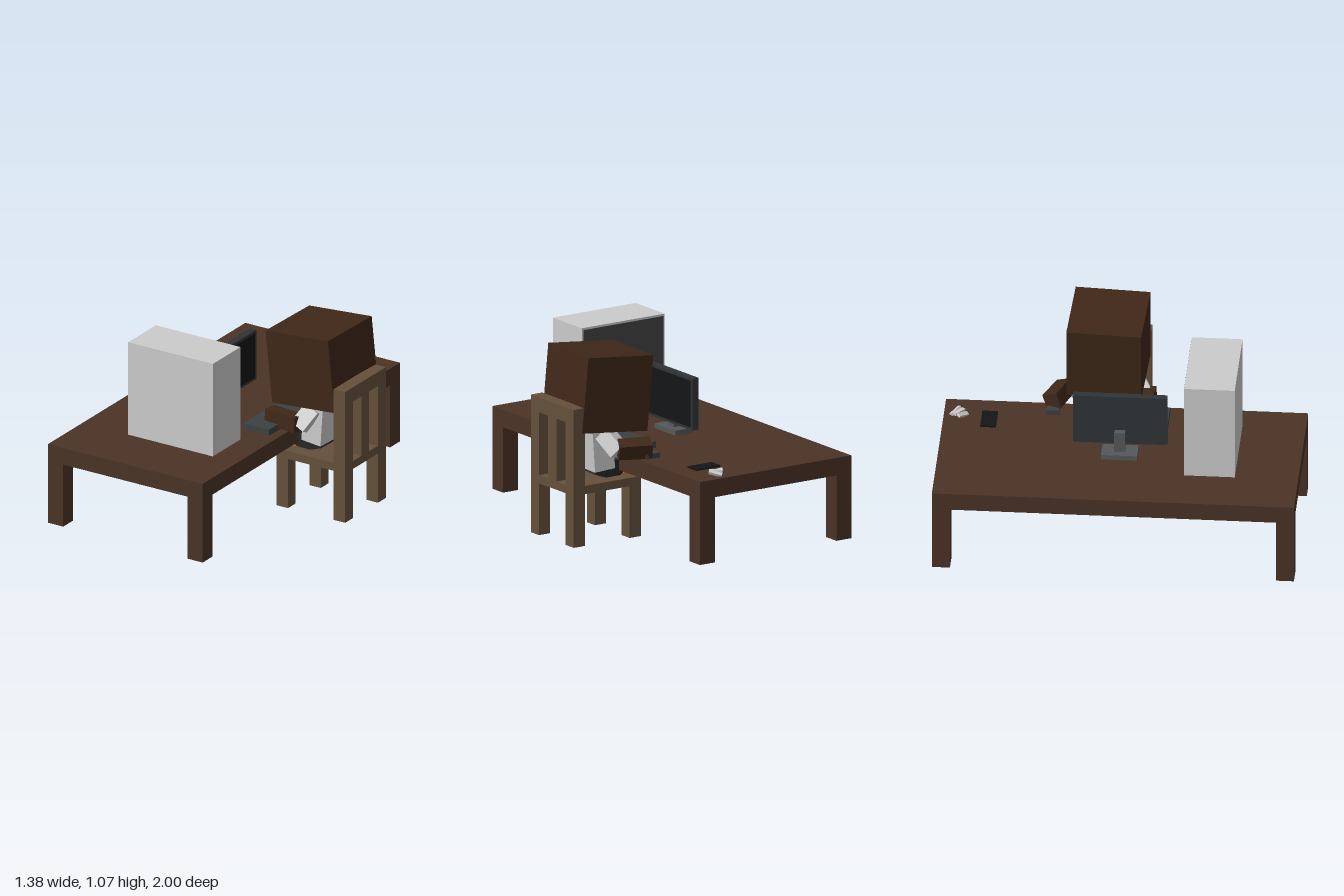
import * as THREE from 'three';

const mat = (color) => new THREE.MeshStandardMaterial({ color, flatShading: true, side: THREE.DoubleSide });
const M = {
  desk: mat(0x4a3325), chair: mat(0x66503c), skin: mat(0x3f2718), shirt: mat(0xcccccc),
  trousers: mat(0x252728), shoe: mat(0xd2692e), dark: mat(0x3c4042), frame: mat(0x303436),
  black: mat(0x141516), grey: mat(0xcccccc), base: mat(0x55585a), panel: mat(0x444444),
};

export function createModel() {
  const root = new THREE.Group();
  const group = (name) => {
    const g = new THREE.Group();
    g.name = name;
    root.add(g);
    return g;
  };
  // Box given by its two extreme corners
  const box = (parent, name, material, x0, x1, y0, y1, z0, z1) => {
    const m = new THREE.Mesh(new THREE.BoxGeometry(x1 - x0, y1 - y0, z1 - z0), material);
    m.position.set((x0 + x1) / 2, (y0 + y1) / 2, (z0 + z1) / 2);
    m.name = name;
    parent.add(m);
    return m;
  };
  // Box given by centre, size and rotation
  const tilted = (parent, name, material, pos, size, rot) => {
    const m = new THREE.Mesh(new THREE.BoxGeometry(...size), material);
    m.position.set(...pos);
    m.rotation.set(...rot);
    m.name = name;
    parent.add(m);
    return m;
  };
  // Square limb between two points, tapering from width w0 to w1
  const limb = (parent, name, material, a, b, w0, w1) => {
    const from = new THREE.Vector3(...a), to = new THREE.Vector3(...b);
    const dir = to.clone().sub(from);
    const geo = new THREE.CylinderGeometry(w1 * Math.SQRT1_2, w0 * Math.SQRT1_2, dir.length(), 4);
    geo.rotateY(Math.PI / 4);
    const m = new THREE.Mesh(geo, material);
    m.position.copy(from).add(to).multiplyScalar(0.5);
    m.quaternion.setFromUnitVectors(new THREE.Vector3(0, 1, 0), dir.normalize());
    m.name = name;
    parent.add(m);
    return m;
  };

  // Desk: thin top and apron, hollow underneath, four square legs
  const desk = group('desk');
  const X0 = -0.69, X1 = 0.325, T = 0.004;
  box(desk, 'deskTop', M.desk, X0, X1, 0.472 - T, 0.472, -1, 1);
  for (const s of [-1, 1]) {
    box(desk, 'endApron', M.desk, X0, X1, 0.372, 0.47, s - (s > 0 ? T : 0), s + (s < 0 ? T : 0));
    const x = s < 0 ? X0 : X1 - T;
    box(desk, 'sideApron', M.desk, x, x + T, 0.372, 0.47, -1, 1);
    for (const lx of [X0, X1 - 0.1])
      box(desk, 'deskLeg', M.desk, lx, lx + 0.1, 0, 0.47, s < 0 ? -1 : 0.9, s < 0 ? -0.9 : 1);
  }

  // Computer tower with dark side window
  const tower = group('computerTower');
  box(tower, 'towerCase', M.grey, -0.39, 0.165, 0.467, 1.027, 0.37, 0.65);
  box(tower, 'sideWindow', M.panel, -0.38, 0.155, 0.65, 1.015, 0.368, 0.372);

  // Monitor facing the chair
  const monitor = group('monitor');
  box(monitor, 'monitorCase', M.frame, -0.18, -0.138, 0.535, 0.83, -0.26, 0.26);
  box(monitor, 'screen', M.black, -0.14, -0.136, 0.55, 0.815, -0.243, 0.243);
  box(monitor, 'monitorBase', M.base, -0.255, -0.135, 0.467, 0.5, -0.1, 0.1);
  box(monitor, 'monitorNeck', M.base, -0.215, -0.175, 0.5, 0.62, -0.03, 0.03);

  // Small things on the desk
  const items = group('deskItems');
  box(items, 'keyboard', M.dark, 0.1, 0.27, 0.472, 0.508, -0.25, 0.243);
  box(items, 'mouse', M.dark, 0.2, 0.29, 0.472, 0.5, -0.435, -0.365);
  box(items, 'phone', M.black, 0.04, 0.203, 0.472, 0.48, -0.79, -0.703);
  for (let i = -1; i <= 1; i++)
    tilted(items, 'crumpledPaper', M.grey, [0.16 - i * 0.018, 0.486 + (i ? 0 : 0.006), -0.915 + i * 0.022],
      [0.075, 0.016, 0.024], [i * 0.6, -0.7, 0.12 * i]);

  // Chair
  const chair = group('chair');
  for (const [z0, z1] of [[0.035, 0.112], [-0.3, -0.22]]) {
    box(chair, 'backPost', M.chair, 0.61, 0.685, 0, 0.785, z0, z1);
    box(chair, 'frontLeg', M.chair, 0.235, 0.31, 0, 0.3, z0, z1);
  }
  box(chair, 'topRail', M.chair, 0.61, 0.685, 0.7, 0.785, -0.22, 0.035);
  box(chair, 'middleSlat', M.chair, 0.61, 0.685, 0.3, 0.7, -0.132, -0.052);
  box(chair, 'lowerRail', M.chair, 0.61, 0.685, 0.295, 0.342, -0.22, 0.035);
  box(chair, 'seat', M.chair, 0.235, 0.61, 0.295, 0.342, -0.3, 0.112);

  // Seated figure: head, leaning torso, arms on the desk, legs on the seat
  const figure = group('seatedFigure');
  tilted(figure, 'head', M.skin, [0.39, 0.832, -0.108], [0.425, 0.425, 0.415], [0.01, -0.045, 0.1]);
  tilted(figure, 'torso', M.shirt, [0.425, 0.51, -0.095], [0.13, 0.25, 0.26], [0, -0.05, -0.07]);
  tilted(figure, 'hips', M.trousers, [0.415, 0.385, -0.095], [0.11, 0.075, 0.25], [0, -0.05, 0.35]);

  limb(figure, 'leftSleeve', M.shirt, [0.43, 0.6, 0.04], [0.375, 0.5, 0.105], 0.09, 0.09);
  limb(figure, 'leftForearm', M.skin, [0.385, 0.525, 0.115], [0.18, 0.53, 0.1], 0.09, 0.085);
  limb(figure, 'rightSleeve', M.shirt, [0.43, 0.6, -0.23], [0.4, 0.51, -0.335], 0.09, 0.09);
  limb(figure, 'rightForearm', M.skin, [0.42, 0.53, -0.345], [0.245, 0.53, -0.41], 0.085, 0.09);

  for (const z of [-0.02, -0.172]) {
    limb(figure, 'leg', M.trousers, [0.42, 0.4, z], [0.27, 0.37, z], 0.1, 0.09);
    tilted(figure, 'shoe', M.shoe, [0.247, 0.343, z], [0.155, 0.08, 0.1], [0, 0, -0.69]);
  }
  return root;
}
